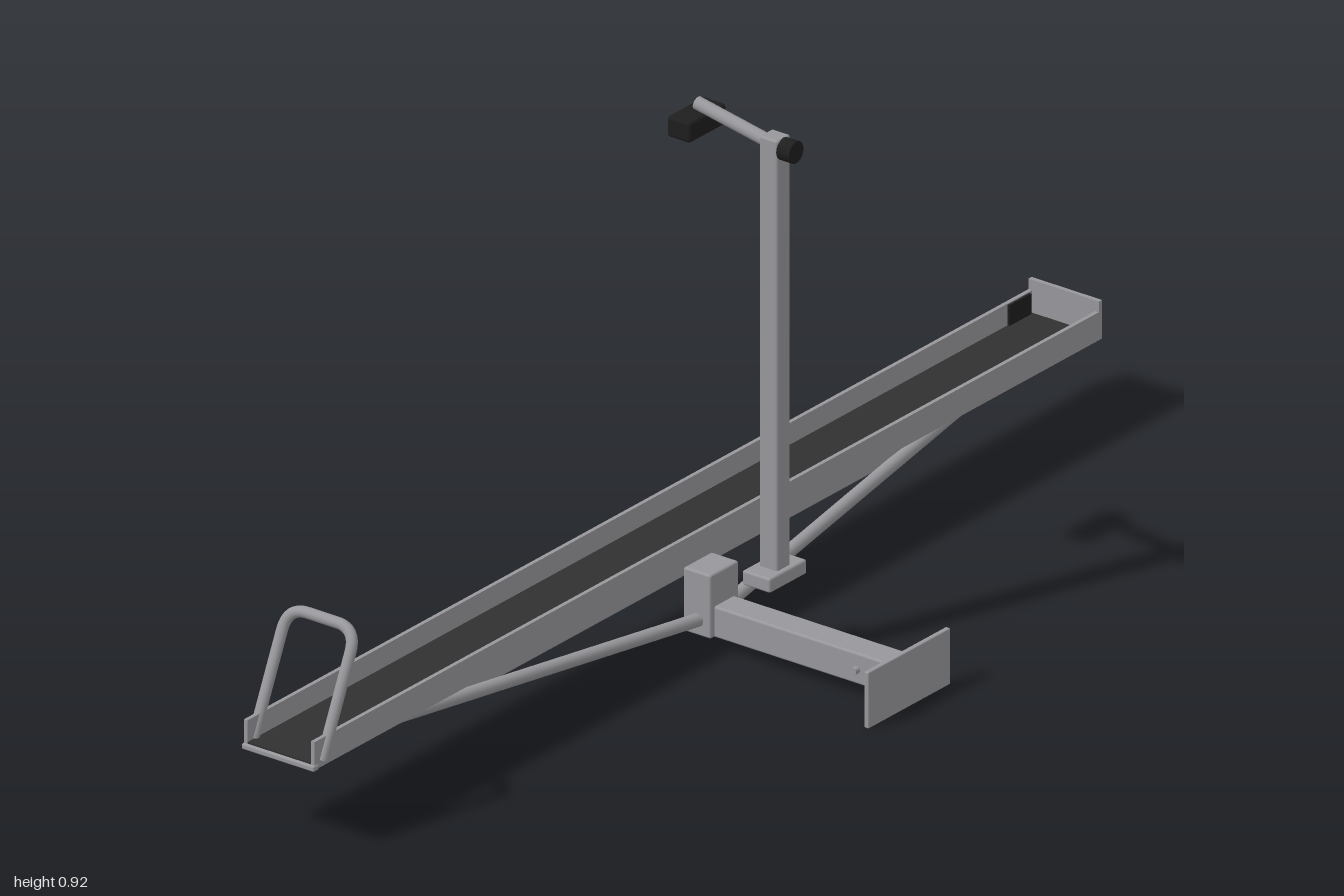
import * as THREE from 'three';
import { RoundedBoxGeometry } from 'three/addons/geometries/RoundedBoxGeometry.js';

export function createModel() {
  const mat = (name, color) => {
    const m = new THREE.MeshStandardMaterial({ color });
    m.name = name;
    return m;
  };
  const metal = mat('grey metal', 0x98989c);
  const lining = mat('dark tread', 0x303030);
  const rubber = mat('black rubber', 0x1e1e1e);
  const red = mat('red reflector', 0xa81c18);

  const model = new THREE.Group();
  model.name = 'carrier';
  const add = (name, geometry, material) => {
    const mesh = new THREE.Mesh(geometry, material);
    mesh.name = name;
    model.add(mesh);
    return mesh;
  };
  // Box given by its extents on each axis, optionally with rounded edges
  const box = (name, [x0, x1], [y0, y1], [z0, z1], material = metal, r = 0) => {
    const s = [x1 - x0, y1 - y0, z1 - z0];
    const g = r ? new RoundedBoxGeometry(...s, 2, r) : new THREE.BoxGeometry(...s);
    const mesh = add(name, g, material);
    mesh.position.set((x0 + x1) / 2, (y0 + y1) / 2, (z0 + z1) / 2);
    return mesh;
  };
  // Round bar between two points
  const bar = (name, a, b, r, material = metal) => {
    const p = new THREE.Vector3(...a), q = new THREE.Vector3(...b);
    const d = q.clone().sub(p);
    const mesh = add(name, new THREE.CylinderGeometry(r, r, d.length(), 20), material);
    mesh.position.copy(p).add(q).multiplyScalar(0.5);
    mesh.quaternion.setFromUnitVectors(new THREE.Vector3(0, 1, 0), d.normalize());
    return mesh;
  };

  // Long channel tray, open at the front
  const L = -0.264, R = -0.126, t = 0.007;
  const channel = new THREE.Shape([
    [L, 0.146], [R, 0.146], [R, 0.194], [R - t, 0.194],
    [R - t, 0.154], [L + t, 0.154], [L + t, 0.194], [L, 0.194],
  ].map(([x, y]) => new THREE.Vector2(x, y)));
  const tray = new THREE.ExtrudeGeometry(channel, { depth: 1.99, bevelEnabled: false });
  tray.translate(0, 0, -0.995);
  add('tray', tray, metal);
  box('trayTread', [L + t, R - t], [0.153, 0.157], [-0.99, 0.995], lining);
  box('trayEndPlate', [L, R], [0.146, 0.212], [-1, -0.992]);
  box('trayFrontLip', [L - 0.002, R + 0.002], [0.144, 0.154], [0.985, 1], metal, 0.003);

  // Reflectors on the outer wall, with dark backs inside
  for (const z of [-0.955, 0.955]) {
    box('reflector', [L - 0.005, L], [0.155, 0.19], [z - 0.026, z + 0.026], red);
  }
  box('reflectorBack', [L + t, L + t + 0.004], [0.157, 0.192], [-0.985, -0.93], rubber);

  // Loop handle leaning back from the front end
  const hl = L + 0.002, hr = R - 0.002, c = 0.038;
  const foot = new THREE.Vector2(0.974, 0.155), top = new THREE.Vector2(0.886, 0.347);
  const height = top.distanceTo(foot);
  const at = (x, h) => {
    const p = foot.clone().lerp(top, h / height);
    return new THREE.Vector3(x, p.y, p.x);
  };
  const path = new THREE.CurvePath();
  const line = (a, b) => path.add(new THREE.LineCurve3(a, b));
  const bend = (a, m, b) => path.add(new THREE.QuadraticBezierCurve3(a, m, b));
  line(at(hl, 0), at(hl, height - c));
  bend(at(hl, height - c), at(hl, height), at(hl + c, height));
  line(at(hl + c, height), at(hr - c, height));
  bend(at(hr - c, height), at(hr, height), at(hr, height - c));
  line(at(hr, height - c), at(hr, 0));
  add('handle', new THREE.TubeGeometry(path, 80, 0.0095, 16), metal);

  // Beam under the tray and its two struts
  box('underBeam', [-0.217, -0.172], [0.095, 0.138], [-0.57, 0.57], metal, 0.004);
  for (const s of [-1, 1]) {
    bar('strut', [-0.117, 0.05, 0.03 * s], [-0.194, 0.126, 0.815 * s], 0.011);
  }

  // Hitch arm with upright block, pin and mounting plate
  box('uprightBlock', [-0.146, -0.092], [0.024, 0.133], [-0.036, 0.036], metal, 0.004);
  box('hitchArm', [-0.1, 0.262], [0.024, 0.077], [-0.026, 0.026], metal, 0.004);
  bar('hitchPin', [0.187, 0.049, -0.036], [0.187, 0.049, 0.036], 0.006);
  box('hitchCollar', [0.254, 0.263], [0.014, 0.086], [-0.032, 0.032], metal, 0.003);
  box('mountingPlate', [0.261, 0.27], [0, 0.096], [-0.104, 0.104], metal, 0.002);

  // Post on its foot
  box('postFoot', [-0.022, 0.033], [0.142, 0.167], [-0.047, 0.047], metal, 0.004);
  box('post', [-0.012, 0.024], [0.15, 0.902], [-0.017, 0.017], metal, 0.004);

  // Clamp arm with knob and padded jaw
  bar('clampArm', [0.005, 0.886, 0], [-0.146, 0.914, 0], 0.011);
  bar('clampKnob', [0.023, 0.884, 0], [0.048, 0.884, 0], 0.0185, rubber);
  box('clampPad', [-0.17, -0.124], [0.866, 0.902], [-0.047, 0.047], rubber, 0.006);

  return model;
}
